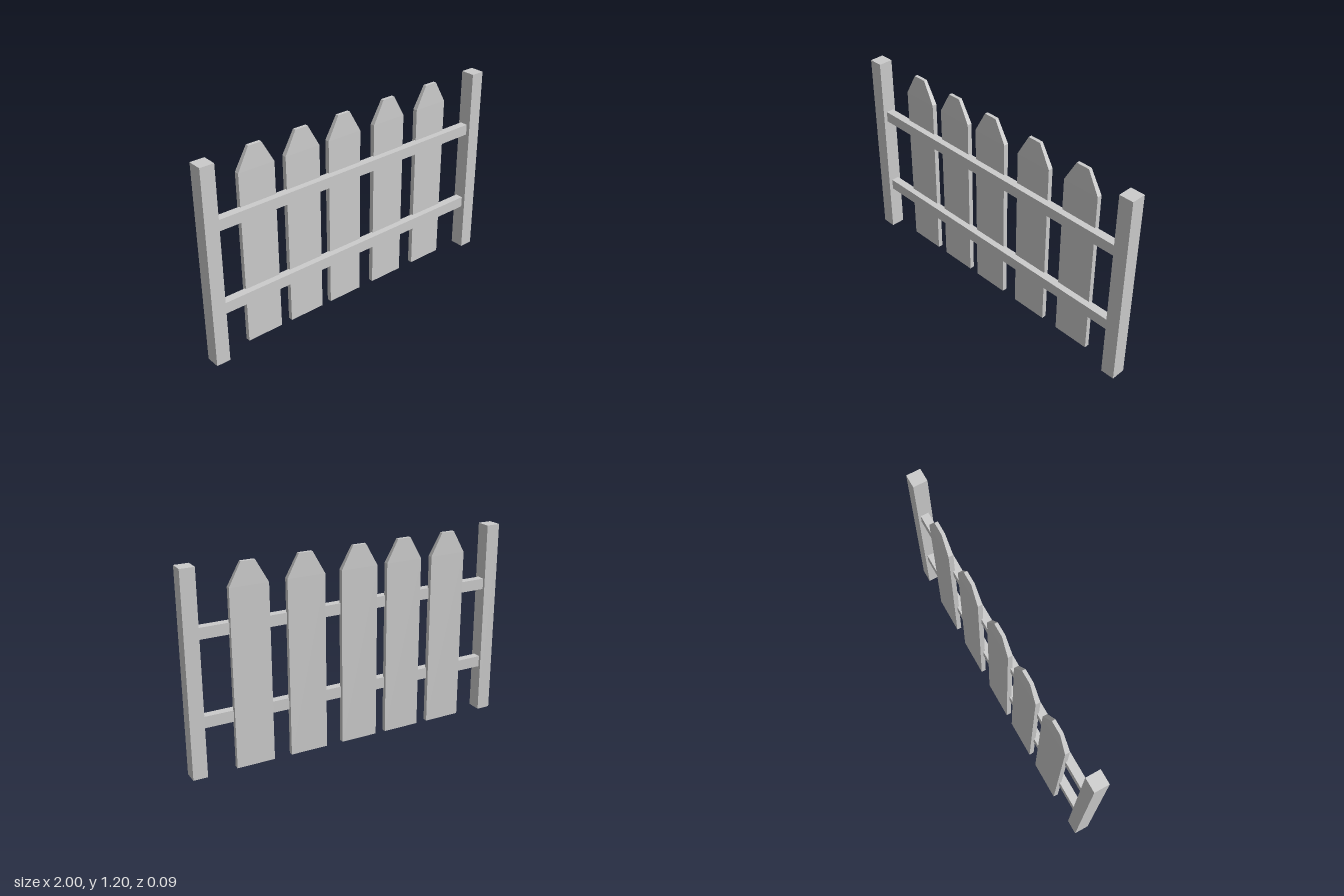
import * as THREE from 'three';

const material = new THREE.MeshStandardMaterial({ color: 0xcccccc, flatShading: true });

// Box given by its lower and upper corners
function block(name, [x0, y0, z0], [x1, y1, z1]) {
  const mesh = new THREE.Mesh(new THREE.BoxGeometry(x1 - x0, y1 - y0, z1 - z0), material);
  mesh.position.set((x0 + x1) / 2, (y0 + y1) / 2, (z0 + z1) / 2);
  mesh.name = name;
  return mesh;
}

// Board with a tapered head: three rows of vertices (foot, shoulder, tip)
function picketGeometry() {
  const rows = [
    { y: 0.01, halfWidth: 0.114, halfDepth: 0.0145 },
    { y: 1.06, halfWidth: 0.114, halfDepth: 0.0145 },
    { y: 1.193, halfWidth: 0.041, halfDepth: 0.01 },
  ];
  const geometry = new THREE.BoxGeometry(2, 2, 2, 1, 2, 1);
  const p = geometry.attributes.position;
  for (let i = 0; i < p.count; i++) {
    const row = rows[Math.round(p.getY(i)) + 1];
    p.setXYZ(i, p.getX(i) * row.halfWidth, row.y, p.getZ(i) * row.halfDepth);
  }
  const flat = geometry.toNonIndexed();
  flat.computeVertexNormals();
  return flat;
}

export function createModel() {
  const fence = new THREE.Group();
  fence.name = 'picketFence';

  // End posts
  fence.add(block('leftPost', [0.915, 0, -0.042], [1, 1.198, 0.045]));
  fence.add(block('rightPost', [-1, 0, -0.042], [-0.915, 1.198, 0.045]));

  // Horizontal rails between the posts
  fence.add(block('lowerRail', [-0.916, 0.29, -0.027], [0.916, 0.358, 0.022]));
  fence.add(block('upperRail', [-0.916, 0.8, -0.027], [0.916, 0.866, 0.022]));

  // Unevenly spaced pickets behind the rails
  const geometry = picketGeometry();
  [-0.631, -0.331, -0.039, 0.292, 0.627].forEach((x, i) => {
    const picket = new THREE.Mesh(geometry, material);
    picket.position.set(x, 0, -0.0305);
    picket.name = `picket${i + 1}`;
    fence.add(picket);
  });

  return fence;
}
